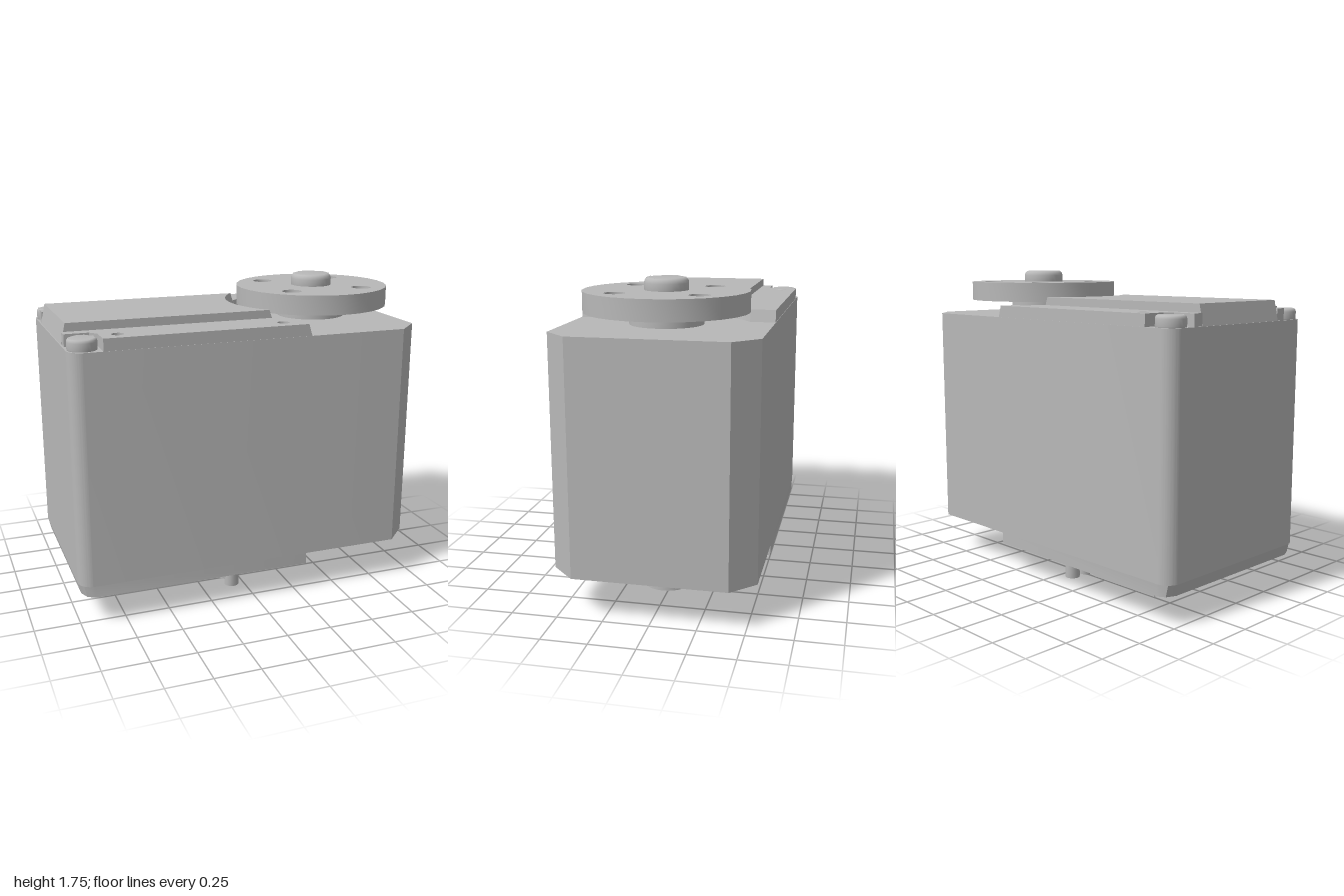
import * as THREE from 'three';
import { toCreasedNormals } from 'three/addons/utils/BufferGeometryUtils.js';

const AXIS_X = 0.55; // output shaft position

export function createModel() {
  const group = new THREE.Group();
  const grey = new THREE.MeshStandardMaterial({ color: 0xb8b8b8 });
  grey.name = 'servoGrey';

  const add = (name, geometry) => {
    const mesh = new THREE.Mesh(toCreasedNormals(geometry, 0.6), grey);
    mesh.name = name;
    group.add(mesh);
    return mesh;
  };
  const outline = (points) => new THREE.Shape(points.map(([x, z]) => new THREE.Vector2(x, z)));
  const circle = (x, z, r) => new THREE.Path().absarc(x, z, r, 0, Math.PI * 2, true);
  const disc = (x, z, r) => new THREE.Shape().absarc(x, z, r, 0, Math.PI * 2, false);
  // Vertical prism from a plan outline
  const prism = (shape, y0, y1, options = {}) =>
    new THREE.ExtrudeGeometry(shape, { depth: y1 - y0, bevelEnabled: false, curveSegments: 14, ...options })
      .rotateX(-Math.PI / 2).translate(0, y0, 0);
  // Shift vertices in x by a rule
  const shiftX = (geometry, rule) => {
    const p = geometry.attributes.position;
    for (let i = 0; i < p.count; i++) p.setX(i, p.getX(i) + rule(p.getX(i), p.getY(i), p.getZ(i)));
    geometry.computeVertexNormals();
    return geometry;
  };
  const arcX = (z, r) => AXIS_X - Math.sqrt(r * r - z * z);

  // Main case: chamfered at the shaft end, rounded at the other
  const body = new THREE.Shape();
  body.moveTo(-0.92, -0.545);
  body.lineTo(0.87, -0.545);
  body.lineTo(1, -0.415);
  body.lineTo(1, 0.415);
  body.lineTo(0.87, 0.545);
  body.lineTo(-0.92, 0.545);
  body.absarc(-0.92, 0.465, 0.08, Math.PI / 2, Math.PI, false);
  body.lineTo(-1, -0.465);
  body.absarc(-0.92, -0.465, 0.08, Math.PI, Math.PI * 1.5, false);
  add('case', prism(body, 0.225, 1.495));

  // Raised centre panel of the lid with a concave sloping end
  const panel = [[-0.995, 0.31], [-0.995, -0.31]];
  for (let i = 0; i <= 12; i++) {
    const z = -0.31 + 0.62 * i / 12;
    panel.push([arcX(z, 0.47), z]);
  }
  add('lidPanel', shiftX(prism(outline(panel), 1.495, 1.605),
    (x, y) => (y < 1.6 ? 0 : x > 0 ? -0.038 : 0.025)));

  for (const s of [1, -1]) {
    // Lid side strip with two small holes and a corner pocket
    const strip = outline([
      [-0.99, 0.31], [-0.99, 0.37], [-0.86, 0.37], [-0.825, 0.41], [-0.825, 0.543],
      [0.312, 0.543], [0.312, 0.405], [arcX(0.36, 0.47), 0.36], [arcX(0.31, 0.47), 0.31],
    ].map(([x, z]) => [x, z * s]));
    strip.holes.push(circle(-0.73, 0.455 * s, 0.033), circle(0.18, 0.455 * s, 0.033));
    add('lidStrip', shiftX(prism(strip, 1.495, 1.56),
      (x, y, z) => (y > 1.55 && x > 0 && (x > 0.3 || Math.abs(z) < 0.415) ? -0.02 : 0)));
  }

  // Rounded screw head with a cross recess
  const screw = (name, x, z, r, y0, y1, bevel) => {
    const a = r * 0.66, b = r * 0.17;
    const head = disc(0, 0, r);
    head.holes.push(new THREE.Path([
      [a, b], [b, b], [b, a], [-b, a], [-b, b], [-a, b],
      [-a, -b], [-b, -b], [-b, -a], [b, -a], [b, -b], [a, -b],
    ].map(([u, v]) => new THREE.Vector2(u, v))));
    const h = prism(head, y0, y1 - bevel, {
      bevelEnabled: true, bevelSize: bevel * 0.8, bevelOffset: -bevel * 0.8,
      bevelThickness: bevel, bevelSegments: 3,
    });
    add(name, h).position.set(x, 0, z);
    add(name + 'Core', new THREE.CylinderGeometry(r * 0.8, r * 0.8, 0.02, 24))
      .position.set(x, y0 + 0.01, z);
  };
  for (const s of [1, -1]) screw('lidScrew', -0.915, 0.455 * s, 0.078, 1.5, 1.555, 0.018);

  // Output shaft, hub and horn
  add('shaft', new THREE.CylinderGeometry(0.105, 0.105, 0.04, 24)).position.set(AXIS_X, 1.5, 0);
  add('hornHub', new THREE.CylinderGeometry(0.197, 0.197, 0.07, 32)).position.set(AXIS_X, 1.543, 0);
  const horn = disc(AXIS_X, 0, 0.44);
  for (const u of [-1, 1]) for (const v of [-1, 1])
    horn.holes.push(circle(AXIS_X + 0.218 * u, 0.218 * v, 0.055));
  add('horn', prism(horn, 1.575, 1.685));
  screw('hornScrew', AXIS_X, 0, 0.117, 1.685, 1.75, 0.028);

  // Bottom plate, notched around the pins and the boss
  const half = [[-0.13, 0.385], [0.01, 0.385], [0.07, 0.285], [0.19, 0.285],
    [0.312, 0.415], [0.312, 0.543], [-0.92, 0.543], [-0.975, 0.52], [-0.998, 0.465]];
  const base = outline([...half, ...half.map(([x, z]) => [x, -z]).reverse()]);
  for (const s of [1, -1])
    base.holes.push(circle(-0.92, 0.46 * s, 0.032), circle(0.19, 0.455 * s, 0.032));
  add('basePlate', shiftX(prism(base, 0.16, 0.225),
    (x, y) => (y < 0.17 && x < -0.96 ? 0.015 : 0)));

  // Wedge-ended block under the base
  const wedge = outline([[-0.77, 0.17], [-0.77, 0.08], [-0.32, 0.08], [-0.18, 0.16], [-0.18, 0.17]]);
  add('baseBlock', new THREE.ExtrudeGeometry(wedge, { depth: 0.8, bevelEnabled: false })
    .translate(0, 0, -0.4));

  // Two rows of three connector pins
  for (const s of [1, -1]) for (const z of [0.125, 0.235, 0.335])
    add('pin', new THREE.CylinderGeometry(0.042, 0.042, 0.235, 12)).position.set(-0.07, 0.1175, z * s);

  // Hollow boss below the shaft
  const boss = disc(AXIS_X, 0, 0.132);
  boss.holes.push(circle(AXIS_X, 0, 0.05));
  add('bottomBoss', prism(boss, 0.055, 0.23));

  return group;
}
